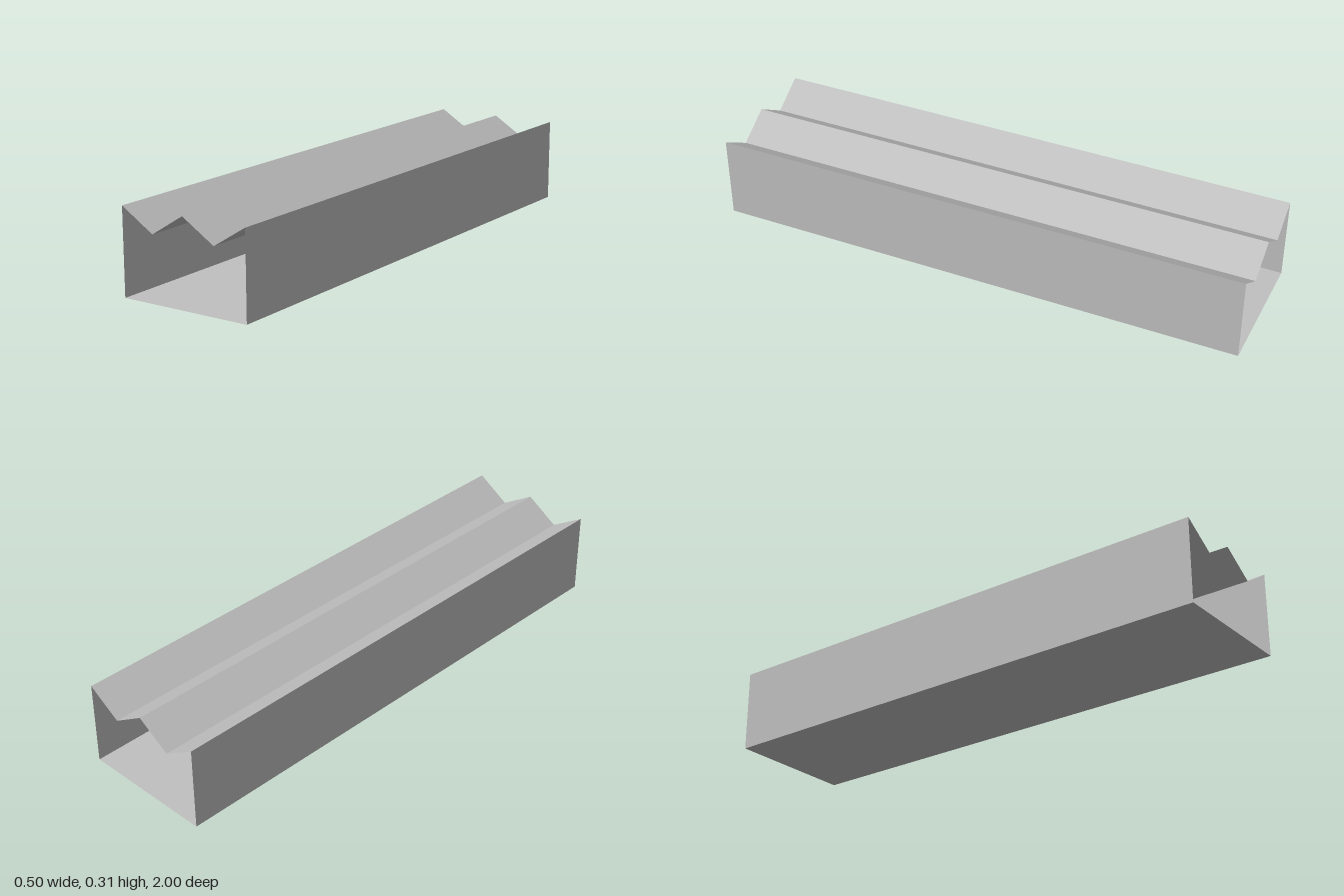
import * as THREE from 'three';

const HALF_LENGTH = 1;
const HALF_WIDTH = 0.25;
const EAVE = 0.315;
const VALLEY = 0.237;
const BASE = 0.004;

// Sweeps an open x/y profile along z as flat, separately shaded sheets.
function foldedSheet(name, profile, material) {
  const positions = [];
  for (let i = 0; i < profile.length - 1; i++) {
    const [ax, ay] = profile[i];
    const [bx, by] = profile[i + 1];
    const a0 = [ax, ay, -HALF_LENGTH], a1 = [ax, ay, HALF_LENGTH];
    const b0 = [bx, by, -HALF_LENGTH], b1 = [bx, by, HALF_LENGTH];
    positions.push(...a0, ...a1, ...b1, ...a0, ...b1, ...b0);
  }
  const geometry = new THREE.BufferGeometry();
  geometry.setAttribute('position', new THREE.Float32BufferAttribute(positions, 3));
  geometry.computeVertexNormals();
  const mesh = new THREE.Mesh(geometry, material);
  mesh.name = name;
  return mesh;
}

export function createModel() {
  const model = new THREE.Group();
  model.name = 'sawtoothRoofHall';

  const grey = new THREE.MeshStandardMaterial({ color: 0xc0c0c0, side: THREE.DoubleSide });
  grey.name = 'plain grey';

  // Zigzag roof: two valleys between three ridges
  model.add(foldedSheet('roof', [
    [-HALF_WIDTH, EAVE], [-HALF_WIDTH / 2, VALLEY], [0, EAVE],
    [HALF_WIDTH / 2, VALLEY], [HALF_WIDTH, EAVE],
  ], grey));

  // Side walls, running outward-facing; both ends stay open
  model.add(foldedSheet('rightWall', [[-HALF_WIDTH, BASE], [-HALF_WIDTH, EAVE]], grey));
  model.add(foldedSheet('leftWall', [[HALF_WIDTH, EAVE], [HALF_WIDTH, BASE]], grey));

  // Floor sheet
  model.add(foldedSheet('floor', [[HALF_WIDTH, BASE], [-HALF_WIDTH, BASE]], grey));

  return model;
}
